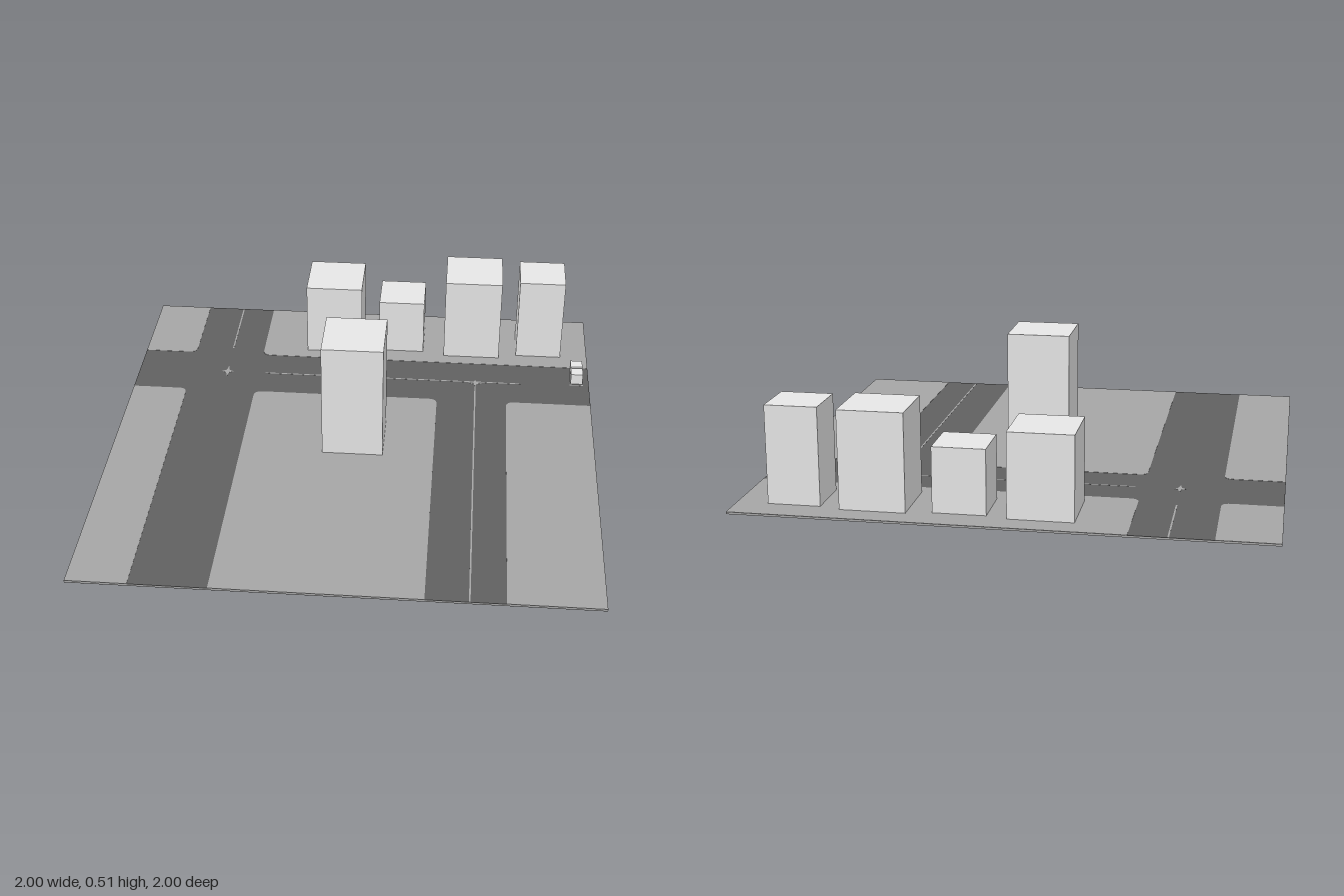
import * as THREE from 'three';

const mat = (name, color) => Object.assign(new THREE.MeshStandardMaterial({ color }), { name });

export function createModel() {
  const city = new THREE.Group();
  city.name = 'cityBlocks';
  const building = mat('light grey', 0xe6e6e6);
  const ground = mat('mid grey', 0xa5a5a5);
  const asphalt = mat('dark grey', 0x606060);

  const add = (name, geometry, material) => {
    const mesh = new THREE.Mesh(geometry, material);
    mesh.name = name;
    city.add(mesh);
  };

  // Box given by its extents
  const box = (name, x0, x1, y0, y1, z0, z1, material) => {
    const g = new THREE.BoxGeometry(x1 - x0, y1 - y0, z1 - z0);
    g.translate((x0 + x1) / 2, (y0 + y1) / 2, (z0 + z1) / 2);
    add(name, g, material);
  };

  // Thin plate lying flat, drawn in x and z, with its top at the given height
  const plate = (name, shape, top, depth, material) => {
    const g = new THREE.ExtrudeGeometry(shape, { depth, bevelEnabled: false, curveSegments: 6 });
    g.rotateX(Math.PI / 2).translate(0, top, 0);
    add(name, g, material);
  };

  // Ground slab, road surface and the strip under the front edge
  box('groundSlab', -1, 1, 0.001, 0.0075, -1, 1, ground);
  box('roadSurface', -1, 1, 0.0075, 0.009, -1, 1, asphalt);
  const strip = [[-1, 1], [-1, 0.9], [1, 0.82], [1, 1]].map(p => new THREE.Vector2(...p));
  plate('undersideStrip', new THREE.Shape(strip), 0.001, 0.001, asphalt);

  // Raised blocks: x0, x1, z0, z1, then corner radii at (x0,z0), (x1,z0), (x1,z1), (x0,z1)
  const r = 0.035;
  [
    [-1, -0.77, -1, -0.602, 0, 0, r, 0],
    [-0.465, 1, -1, -0.602, 0, 0, 0, r],
    [-1, -0.765, -0.305, 1, 0, r, 0, 0],
    [-0.465, 0.335, -0.305, 1, r, r, 0, 0],
    [0.635, 1, -0.305, 1, r, 0, 0, 0],
  ].forEach(([x0, x1, z0, z1, a, b, c, d]) => {
    const s = new THREE.Shape();
    s.moveTo(x0 + a, z0);
    s.lineTo(x1 - b, z0);
    if (b) s.quadraticCurveTo(x1, z0, x1, z0 + b);
    s.lineTo(x1, z1 - c);
    if (c) s.quadraticCurveTo(x1, z1, x1 - c, z1);
    s.lineTo(x0 + d, z1);
    if (d) s.quadraticCurveTo(x0, z1, x0, z1 - d);
    s.lineTo(x0, z0 + a);
    if (a) s.quadraticCurveTo(x0, z0, x0 + a, z0);
    plate('groundBlock', s, 0.01, 0.001, ground);
  });

  // Centre lines of the roads
  const w = 0.003, lineTop = 0.0094;
  box('laneLine', -0.608 - w, -0.608 + w, 0.009, lineTop, -1, -0.65, ground);
  box('laneLine', -0.435, 0.7, 0.009, lineTop, -0.455 - w, -0.455 + w, ground);
  box('laneLine', 0.5 - w, 0.5 + w, 0.009, lineTop, -0.45, 1, ground);
  box('stopLine', 0.915, 0.975, 0.009, lineTop, -0.466, -0.461, ground);

  // Four-pointed marks at the crossings
  [[-0.605, -0.455, 0.025, 0.045], [0.5, -0.445, 0.03, 0.025]].forEach(([x, z, rx, rz]) => {
    const pts = Array.from({ length: 8 }, (_, i) => {
      const a = i * Math.PI / 4, k = i % 2 ? 0.35 : 1;
      return new THREE.Vector2(x + rx * k * Math.cos(a), z + rz * k * Math.sin(a));
    });
    plate('crossingMark', new THREE.Shape(pts), 0.0096, 0.0006, ground);
  });

  // Buildings: x0, x1, height, z0, z1
  [
    ['tower', -0.125, 0.125, 0.512, -0.125, 0.125],
    ['building', -0.267, -0.02, 0.335, -0.907, -0.66],
    ['building', 0.058, 0.259, 0.26, -0.885, -0.687],
    ['building', 0.353, 0.602, 0.387, -0.907, -0.66],
    ['building', 0.68, 0.88, 0.387, -0.885, -0.687],
    ['smallBox', 0.92, 0.972, 0.058, -0.587, -0.537],
    ['smallBox', 0.92, 0.972, 0.058, -0.525, -0.473],
  ].forEach(([name, x0, x1, h, z0, z1]) => box(name, x0, x1, 0.008, h, z0, z1, building));

  return city;
}
